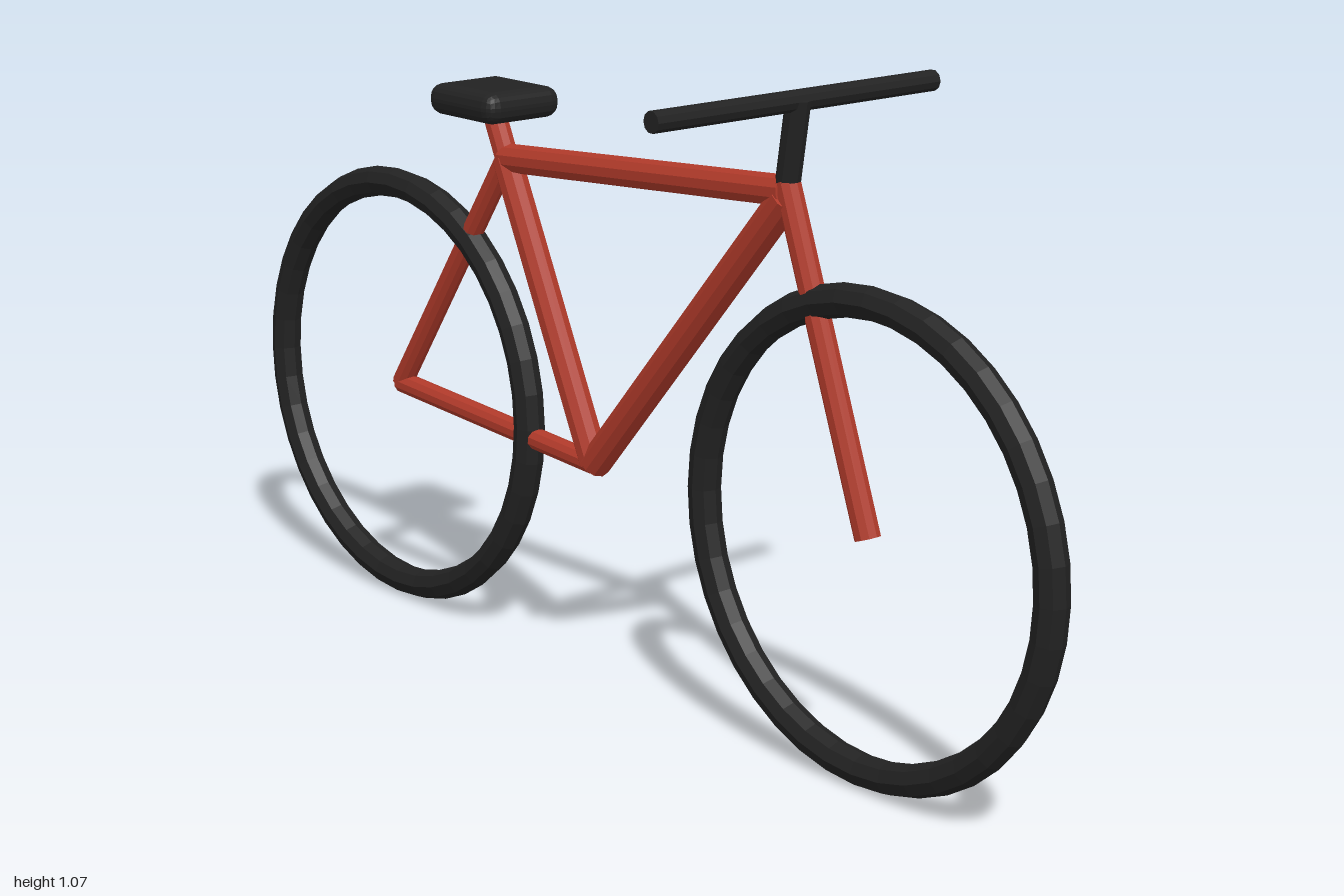
import * as THREE from 'three';
import { RoundedBoxGeometry } from 'three/addons/geometries/RoundedBoxGeometry.js';

export function createModel() {
  const red = new THREE.MeshStandardMaterial({ color: 0xb03a2a, flatShading: true });
  red.name = 'frame red';
  const black = new THREE.MeshStandardMaterial({ color: 0x222222, flatShading: true });
  black.name = 'rubber black';

  const bike = new THREE.Group();
  bike.name = 'bicycle';

  const add = (name, geometry, material) => {
    const mesh = new THREE.Mesh(geometry, material);
    mesh.name = name;
    bike.add(mesh);
    return mesh;
  };

  // Straight tube between two points [x, y, z]
  const tube = (name, a, b, radius, material) => {
    const from = new THREE.Vector3(...a);
    const to = new THREE.Vector3(...b);
    const dir = to.clone().sub(from);
    const mesh = add(name, new THREE.CylinderGeometry(radius, radius, dir.length(), 10), material);
    mesh.position.copy(from).add(to).multiplyScalar(0.5);
    mesh.quaternion.setFromUnitVectors(new THREE.Vector3(0, 1, 0), dir.normalize());
  };

  // Joints of the frame
  const head = [0, 0.915, 0.41];
  const crank = [0, 0.375, -0.05];
  const seatJoint = [0, 0.865, -0.283];
  const frontAxle = [0, 0.405, 0.6];
  const rearAxle = [0, 0.405, -0.597];

  // Tyres
  for (const [name, z] of [['frontTyre', 0.6], ['rearTyre', -0.6]]) {
    const tyre = add(name, new THREE.TorusGeometry(0.373, 0.027, 8, 40), black);
    tyre.rotation.y = Math.PI / 2;
    tyre.position.set(0, 0.4, z);
  }

  // Frame tubes
  tube('topTube', head, seatJoint, 0.025, red);
  tube('downTube', [0, 0.905, 0.41], crank, 0.027, red);
  tube('seatTube', crank, seatJoint, 0.026, red);
  tube('chainStay', crank, rearAxle, 0.019, red);
  tube('seatStay', seatJoint, rearAxle, 0.019, red);
  tube('fork', [0, 0.93, 0.41], frontAxle, 0.021, red);
  tube('seatPost', [0, 0.85, -0.276], [0, 0.94, -0.318], 0.021, red);

  // Saddle
  add('saddle', new RoundedBoxGeometry(0.158, 0.054, 0.18, 2, 0.024), black)
    .position.set(0, 0.96, -0.317);

  // Stem and handlebar
  tube('stem', [0, 0.925, 0.411], [0, 1.06, 0.432], 0.02, black);
  tube('handlebar', [-0.292, 1.057, 0.43], [0.292, 1.057, 0.43], 0.017, black);

  return bike;
}
